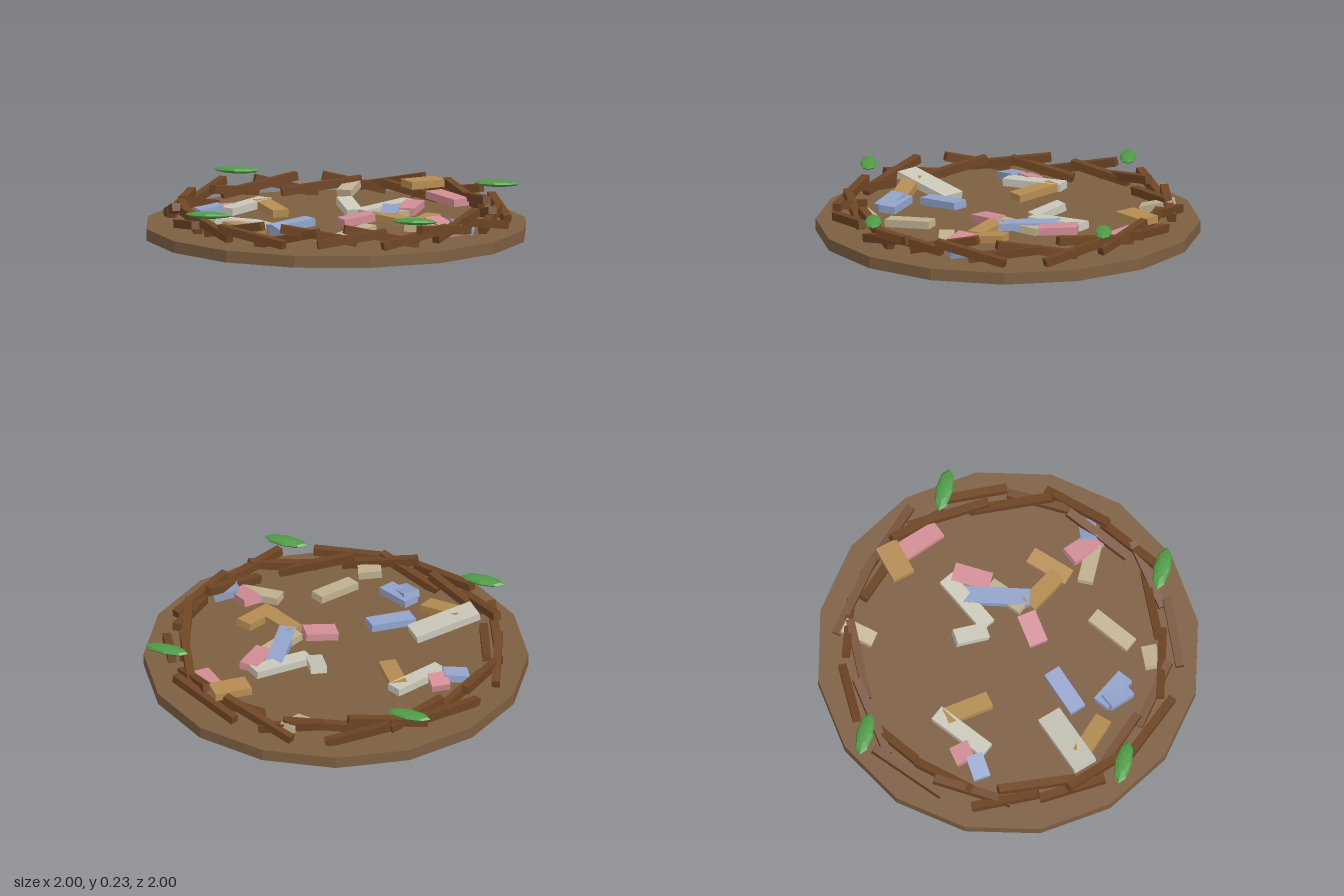
import * as THREE from 'three';

const paint = (name, color) => {
  const m = new THREE.MeshStandardMaterial({ color });
  m.name = name;
  return m;
};

export function createModel() {
  const nest = new THREE.Group();
  nest.name = 'nest';
  const earth = paint('earth brown', 0x7d5f42);
  const bark = paint('bark brown', 0x6e4524);
  const green = paint('leaf green', 0x4f9a45);
  const blue = paint('faded blue', 0x93a3cb);
  const pink = paint('faded pink', 0xd28d95);
  const tan = paint('tan', 0xb58c52);
  const cream = paint('pale grey', 0xc9c7b9);
  const beige = paint('beige', 0xc0b090);

  // Box laid from one end point to the other
  const plank = (name, material, from, to, width, thick) => {
    const mesh = new THREE.Mesh(new THREE.BoxGeometry(width, thick, from.distanceTo(to)), material);
    mesh.position.copy(from).add(to).multiplyScalar(0.5);
    mesh.lookAt(to);
    mesh.name = name;
    nest.add(mesh);
  };

  // Sixteen-sided floor
  const floor = new THREE.Mesh(new THREE.CylinderGeometry(1, 1, 0.062, 16).toNonIndexed(), earth);
  floor.geometry.computeVertexNormals();
  floor.position.y = 0.041;
  floor.name = 'floor';
  nest.add(floor);

  // Ring of overlapping twigs, skewed and tilted in turn
  const count = 30;
  for (let i = 0; i < count; i++) {
    const angle = (i / count) * Math.PI * 2;
    const radius = 0.82 + 0.045 * Math.sin(i * 2.3);
    const along = angle + Math.PI / 2 + 0.14 * Math.sin(i * 1.7);
    const half = 0.19 + 0.03 * Math.sin(i * 3.1);
    const tilt = (i % 2 ? 1 : -1) * (0.025 + (i % 3) * 0.01);
    const middle = new THREE.Vector3(Math.cos(angle) * radius, 0.125 + (i % 4) * 0.008, Math.sin(angle) * radius);
    const reach = new THREE.Vector3(Math.cos(along) * half, tilt, Math.sin(along) * half);
    plank('twig', bark, middle.clone().sub(reach), middle.clone().add(reach), 0.043, 0.043);
  }

  // Scraps lying inside, by colour: x and z of both ends
  const scatter = (material, width, ends) => ends.forEach(([x1, z1, x2, z2], i) => {
    const lift = (i % 3) * 0.02;
    plank('scrap', material, new THREE.Vector3(x1, 0.105 + lift, z1),
      new THREE.Vector3(x2, 0.125 - lift / 2, z2), width, 0.04);
  });
  scatter(blue, 0.09, [
    [-0.73, 0.03, -0.62, -0.04], [0.29, 0.05, 0.23, -0.31], [-0.19, 0.57, -0.08, 0.66],
    [-0.25, 0.43, -0.08, 0.25], [-0.2, 0.54, -0.02, 0.63], [0.67, 0.28, 0.78, 0.24]
  ]);
  scatter(pink, 0.1, [
    [0.06, 0.15, 0.2, 0.05], [0.34, -0.37, 0.33, -0.17], [0.55, 0.2, 0.71, 0.33],
    [-0.65, -0.14, -0.59, -0.06], [0.37, -0.67, 0.56, -0.5]
  ]);
  scatter(tan, 0.09, [
    [-0.3, -0.03, -0.45, -0.23], [0.25, 0.05, 0.45, 0.16], [-0.5, 0.5, -0.27, 0.57],
    [0.45, 0.22, 0.52, 0]
  ]);
  scatter(cream, 0.085, [
    [0.1, -0.13, 0.3, -0.4], [-0.44, -0.28, -0.58, 0.02], [-0.02, -0.28, 0.07, -0.13]
  ]);
  scatter(beige, 0.08, [
    [0.16, 0.62, 0.27, 0.39], [0.44, 0.31, 0.65, 0.31], [-0.08, -0.86, -0.11, -0.69],
    [0.32, -0.17, 0.23, 0.03], [0.06, 0.76, 0.17, 0.71]
  ]);

  // Two broad scraps, one resting on the rim
  plank('scrap', cream, new THREE.Vector3(-0.56, 0.16, 0.54), new THREE.Vector3(-0.31, 0.1, 0.29), 0.13, 0.04);
  plank('scrap', tan, new THREE.Vector3(0.24, 0.18, -0.61), new THREE.Vector3(0.39, 0.18, -0.74), 0.12, 0.04);

  // Four faceted leaves above the rim
  const leafShape = new THREE.SphereGeometry(1, 8, 6).toNonIndexed();
  leafShape.scale(0.12, 0.018, 0.045);
  leafShape.computeVertexNormals();
  for (const [x, z] of [[-0.665, -0.61], [0.74, -0.51], [-0.52, 0.735], [0.57, 0.69]]) {
    const leaf = new THREE.Mesh(leafShape, green);
    leaf.position.set(x, 0.222, z);
    leaf.name = 'leaf';
    nest.add(leaf);
  }
  return nest;
}
